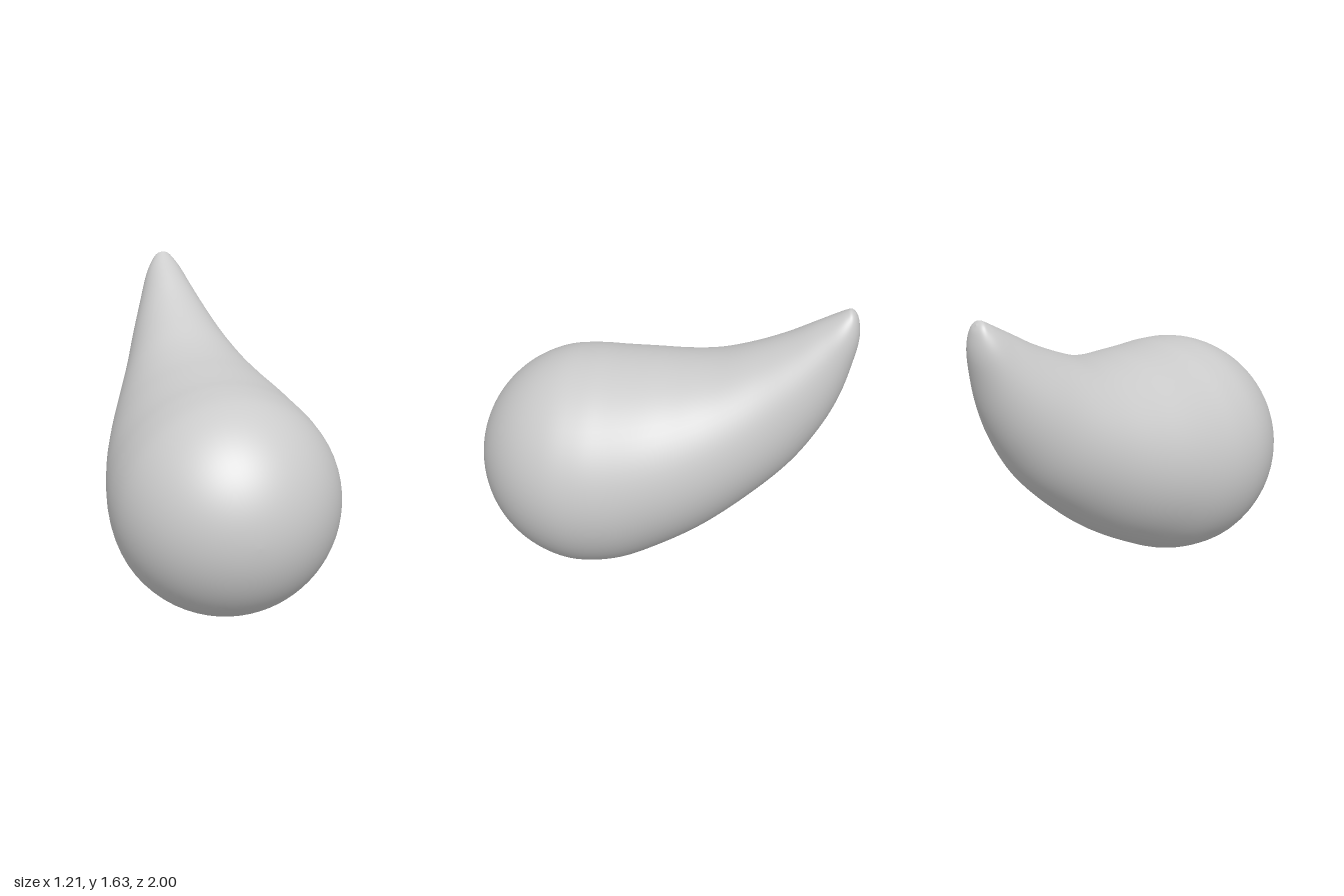
import * as THREE from 'three';

// Stations along the tail: top z, top y, bottom z, bottom y, half width
const TAIL = [
  [0.39, 1.218, 0.39, 0, 0.607],
  [0.25, 1.222, 0.17, 0.045, 0.592],
  [0.08, 1.232, -0.06, 0.165, 0.55],
  [-0.1, 1.248, -0.28, 0.31, 0.485],
  [-0.28, 1.287, -0.5, 0.5, 0.4],
  [-0.46, 1.36, -0.7, 0.71, 0.31],
  [-0.63, 1.445, -0.84, 0.93, 0.235],
  [-0.77, 1.53, -0.93, 1.14, 0.168],
  [-0.87, 1.59, -0.983, 1.36, 0.113],
  [-0.92, 1.62, -1, 1.48, 0.073],
  [-0.945, 1.63, -0.99, 1.57, 0.04],
  [-0.97, 1.615, -0.97, 1.615, 0],
];
const RING = 64, SUB = 5, R = 0.609;

function dropGeometry() {
  // Round head; the first station lies past the pole so the spline stays smooth there
  const stations = [];
  for (let deg = -15; deg < 90; deg += 15) {
    const a = THREE.MathUtils.degToRad(deg);
    const z = 0.39 + 0.61 * Math.cos(a), r = R * Math.sin(a);
    stations.push([z, R + r, z, R - r, r]);
  }
  stations.push(...TAIL);

  const spline = (f) => new THREE.CatmullRomCurve3(stations.map(f), false, 'catmullrom', 0.5);
  const upper = spline(([z, y, , , w]) => new THREE.Vector3(w, y, z));
  const lower = spline(([, , z, y, w]) => new THREE.Vector3(w, y, z));

  // Tilted elliptical rings between the upper and lower profile
  const last = stations.length - 1, rows = (last - 1) * SUB;
  const pos = [], index = [];
  for (let i = 0; i <= rows; i++) {
    const u = (1 + i / SUB) / last;
    const t = upper.getPoint(u), b = lower.getPoint(u);
    for (let j = 0; j < RING; j++) {
      const a = (j / RING) * Math.PI * 2, k = (1 + Math.cos(a)) / 2;
      pos.push(t.x * Math.sin(a), b.y + (t.y - b.y) * k, b.z + (t.z - b.z) * k);
      if (i === rows) continue;
      const p = i * RING + j, q = i * RING + ((j + 1) % RING);
      if (i > 0) index.push(p, q, p + RING);
      if (i < rows - 1) index.push(q, q + RING, p + RING);
    }
  }
  const geo = new THREE.BufferGeometry();
  geo.setAttribute('position', new THREE.Float32BufferAttribute(pos, 3));
  geo.setIndex(index);
  geo.computeVertexNormals();
  return geo;
}

export function createModel() {
  const group = new THREE.Group();
  group.name = 'curvedDrop';
  const body = new THREE.Mesh(dropGeometry(), new THREE.MeshStandardMaterial({ color: 0xcccccc }));
  body.name = 'dropBody';
  group.add(body);
  return group;
}
